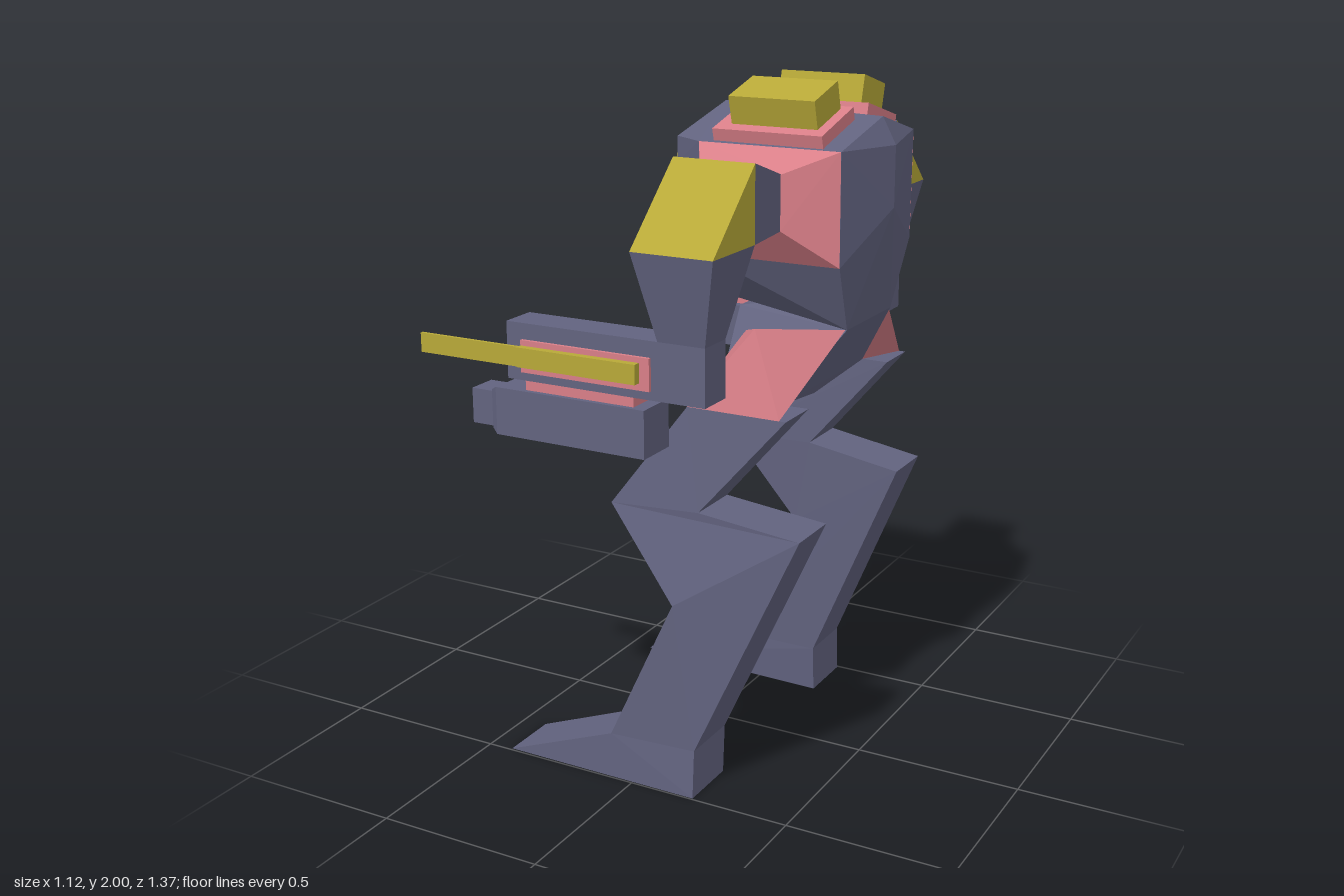
import * as THREE from 'three';
import { ConvexGeometry } from 'three/addons/geometries/ConvexGeometry.js';

const slate = new THREE.MeshStandardMaterial({ color: 0x62637f });
const pink = new THREE.MeshStandardMaterial({ color: 0xd97f88 });
const yellow = new THREE.MeshStandardMaterial({ color: 0xb8a938 });

export function createModel() {
  const model = new THREE.Group();
  model.name = 'walkerRobot';

  const add = (name, geometry, material) => {
    const mesh = new THREE.Mesh(geometry, material);
    mesh.name = name;
    model.add(mesh);
    return mesh;
  };
  // Faceted solid around a few corner points
  const hull = (name, points, material) =>
    add(name, new ConvexGeometry(points.map((p) => new THREE.Vector3(...p))), material);
  // Box given by its extents on each axis
  const box = (name, [x0, x1], [y0, y1], [z0, z1], material) => {
    const mesh = add(name, new THREE.BoxGeometry(x1 - x0, y1 - y0, Math.abs(z1 - z0)), material);
    mesh.position.set((x0 + x1) / 2, (y0 + y1) / 2, (z0 + z1) / 2);
    return mesh;
  };
  const bothSides = (points) => points.flatMap(([x, y, z]) => (z ? [[x, y, z], [x, y, -z]] : [[x, y, z]]));

  // Torso with gabled top
  hull('torso', bothSides([
    [0.04, 1.92, 0], [0.52, 1.905, 0],
    [-0.01, 1.84, 0.19], [0.09, 1.84, 0.25], [0.51, 1.84, 0.245],
    [0.56, 1.83, 0], [0.56, 1.66, 0],
    [-0.01, 1.77, 0.19], [0.09, 1.53, 0.24], [0.51, 1.53, 0.24],
    [0.095, 1.38, 0.08], [0.495, 1.34, 0.15], [0.51, 1.43, 0],
  ]), slate);

  // Canopy plate on the torso's nose
  hull('canopy', bothSides([
    [-0.012, 1.835, 0.18], [-0.014, 1.77, 0.19], [-0.03, 1.78, 0.09],
    [0.085, 1.53, 0.2], [0.085, 1.38, 0.08], [0.1, 1.5, 0.05],
  ]), yellow);

  // Pelvis wedge between the hips
  hull('pelvis', bothSides([
    [0.5, 1.42, 0], [0.495, 1.34, 0.15], [0.36, 1.14, 0.27], [0.33, 1.1, 0],
    [0.16, 1.14, 0.27], [0.14, 1.36, 0.1],
  ]), slate);

  for (const s of [1, -1]) {
    const side = s > 0 ? 'left' : 'right';
    const mirror = (points) => points.map(([x, y, z]) => [x, y, z * s]);
    const part = (n) => side + n;

    // Side panel that carries the shoulder
    hull(part('SidePanel'), mirror([
      [0.09, 1.84, 0.25], [0.51, 1.84, 0.246], [0.51, 1.53, 0.241], [0.09, 1.53, 0.241],
      [0.13, 1.78, 0.315], [0.37, 1.78, 0.315], [0.37, 1.63, 0.315], [0.13, 1.63, 0.315],
    ]), pink);

    // Shoulder, shoulder guard and upper arm share a width in x
    const across = (rows) => mirror(rows.flatMap(([y, z, a = 0.13, b = 0.37]) => [[a, y, z], [b, y, z]]));
    hull(part('Shoulder'), across([[1.78, 0.31], [1.63, 0.31], [1.83, 0.46], [1.62, 0.46]]), slate);
    hull(part('ShoulderGuard'), across([[1.83, 0.46], [1.62, 0.46], [1.62, 0.685]]), yellow);
    hull(part('UpperArm'), across([
      [1.62, 0.46], [1.62, 0.685], [1.38, 0.525, 0.18, 0.32], [1.38, 0.635, 0.18, 0.32],
    ]), slate);

    // Forearm with blade and hanging gun
    const z = (a, b) => [a * s, b * s];
    box(part('Forearm'), [-0.29, 0.32], [1.22, 1.38], z(0.525, 0.635), slate);
    box(part('BladeMount'), [-0.24, 0.16], [1.245, 1.335], z(0.63, 0.645), pink);
    box(part('BladeBase'), [-0.24, 0.13], [1.265, 1.32], z(0.64, 0.667), yellow);
    box(part('Blade'), [-0.56, -0.24], [1.265, 1.32], z(0.652, 0.662), yellow);
    box(part('GunMount'), [-0.24, 0.1], [1.18, 1.225], z(0.54, 0.625), pink);
    box(part('Gun'), [-0.33, 0.14], [1.055, 1.19], z(0.51, 0.64), slate);
    hull(part('GunCollar'), mirror([[-0.33, 0], [-0.352, 0.013]].flatMap(([x, d]) => [
      [x, 1.055 + d, 0.51 + d], [x, 1.19 - d, 0.51 + d], [x, 1.055 + d, 0.64 - d], [x, 1.19 - d, 0.64 - d],
    ])), slate);
    box(part('GunMuzzle'), [-0.423, -0.34], [1.07, 1.17], z(0.53, 0.62), slate);

    // Tilted roof pod on its plate
    const plate = box(part('PodPlate'), [0.13, 0.455], [1.855, 1.905], z(0.04, 0.245), pink);
    const pod = box(part('Pod'), [0.17, 0.425], [1.9, 1.985], z(0.075, 0.223), yellow);
    plate.rotation.x = pod.rotation.x = 0.27 * s;

    // Hip block
    hull(part('Hip'), mirror([
      [0.32, 1.37, 0.36], [0.49, 1.34, 0.15], [0.42, 1.14, 0.41], [0.36, 1.14, 0.27],
      [0.14, 1.14, 0.41], [0.14, 1.14, 0.27], [0.18, 1.3, 0.14],
    ]), pink);

    add(part('Leg'), legGeometry(s), slate);
  }
  return model;
}

// Leg lofted through four-cornered sections: hip, knee, hock, ankle, sole
function legGeometry(s) {
  // each section: front x, y, inner z, outer z, then the same at the back
  const sections = [
    [0.14, 1.14, 0.28, 0.41, 0.44, 1.14, 0.27, 0.41],
    [-0.08, 0.84, 0.275, 0.455, 0.19, 0.85, 0.27, 0.44],
    [0.14, 0.585, 0.28, 0.5, 0.49, 0.81, 0.25, 0.42],
    [-0.07, 0.14, 0.31, 0.495, 0.2, 0.145, 0.3, 0.485],
    [-0.42, 0.005, 0.32, 0.5, 0.2, 0, 0.31, 0.495],
  ];
  const positions = [];
  const rings = sections.map(([fx, fy, fi, fo, bx, by, bi, bo]) => [
    [fx, fy, fi * s], [fx, fy, fo * s], [bx, by, bo * s], [bx, by, bi * s],
  ]);
  const quad = (a, b, c, d) => {
    const order = s > 0 ? [a, b, c, a, c, d] : [a, c, b, a, d, c];
    order.forEach((p) => positions.push(...p));
  };
  for (let i = 0; i < rings.length - 1; i++) {
    for (let j = 0; j < 4; j++) {
      const k = (j + 1) % 4;
      quad(rings[i][j], rings[i + 1][j], rings[i + 1][k], rings[i][k]);
    }
  }
  // Caps at the hip and the sole
  quad(...rings[0]);
  quad(...rings[rings.length - 1].slice().reverse());
  const geometry = new THREE.BufferGeometry();
  geometry.setAttribute('position', new THREE.Float32BufferAttribute(positions, 3));
  geometry.computeVertexNormals();
  return geometry;
}
